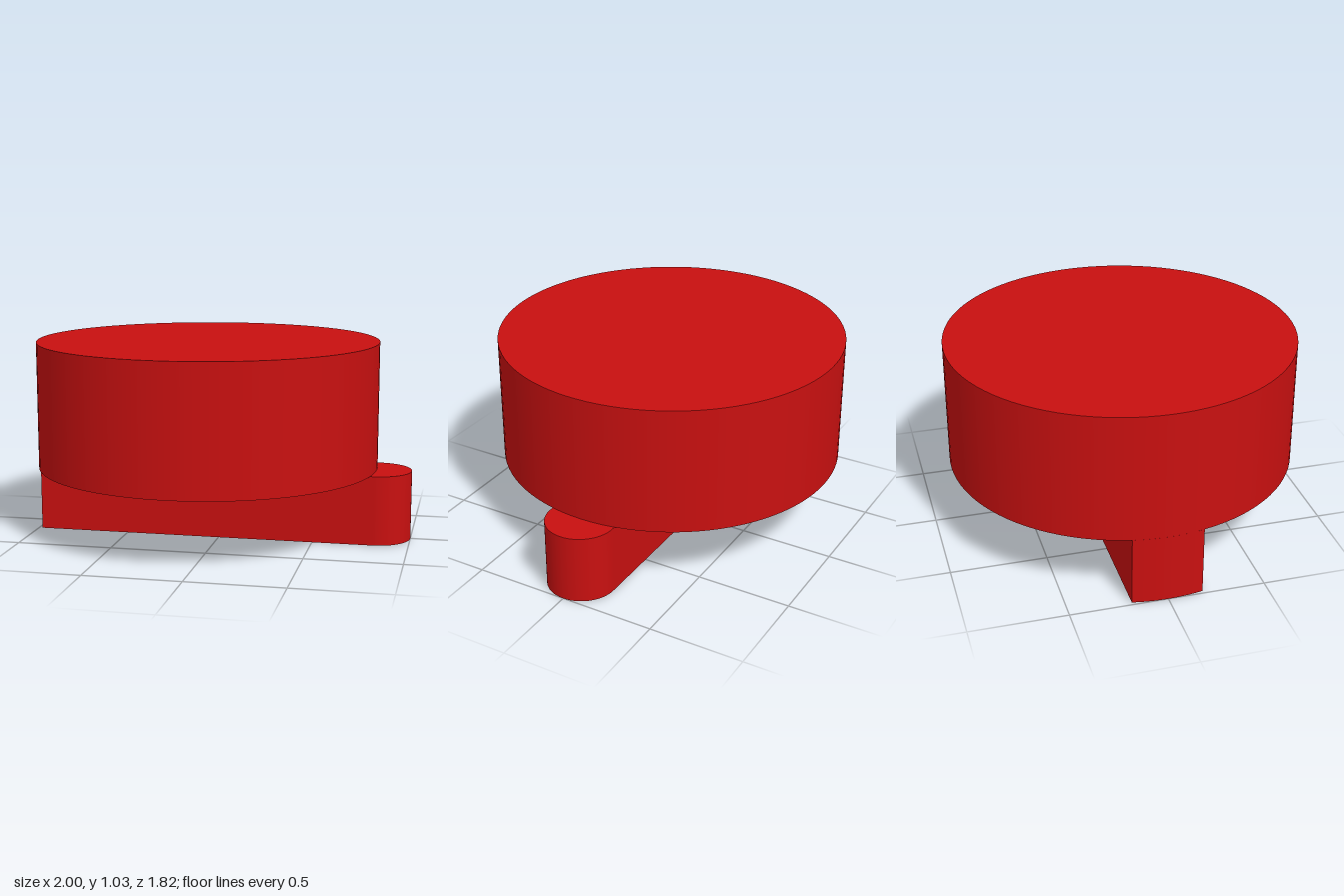
import * as THREE from 'three';

export function createModel() {
  const model = new THREE.Group();
  const red = new THREE.MeshStandardMaterial({ color: 0xc81010 });

  const R = 0.908, cx = -0.092; // disc radius and centre
  const r = 0.182, ex = 0.818;  // bar half width and centre of its round end
  const barTop = 0.365, top = 1.032;

  // Thick round disc
  const disc = new THREE.Mesh(new THREE.CylinderGeometry(R, R, top - barTop, 96), red);
  disc.name = 'disc';
  disc.position.set(cx, (barTop + top) / 2, 0);
  model.add(disc);

  // Bar below: one end rounded, the other following the rim of the disc
  const a = Math.asin(r / R);
  const outline = new THREE.Shape();
  outline.absarc(ex, 0, r, -Math.PI / 2, Math.PI / 2, false);
  outline.absarc(cx, 0, R, Math.PI - a, Math.PI + a, false);
  outline.closePath();
  const geometry = new THREE.ExtrudeGeometry(outline, {
    depth: barTop, bevelEnabled: false, curveSegments: 32,
  });
  geometry.rotateX(-Math.PI / 2);

  // Smooth the side normals along both rounded ends
  const p = geometry.attributes.position, n = geometry.attributes.normal;
  for (let i = 0; i < p.count; i++) {
    if (Math.abs(n.getY(i)) > 0.5 || Math.abs(n.getZ(i)) > 0.9999) continue;
    const c = p.getX(i) > 0 ? ex : cx;
    const v = new THREE.Vector3(p.getX(i) - c, 0, p.getZ(i)).normalize();
    n.setXYZ(i, v.x, 0, v.z);
  }
  const bar = new THREE.Mesh(geometry, red);
  bar.name = 'bar';
  model.add(bar);

  return model;
}
